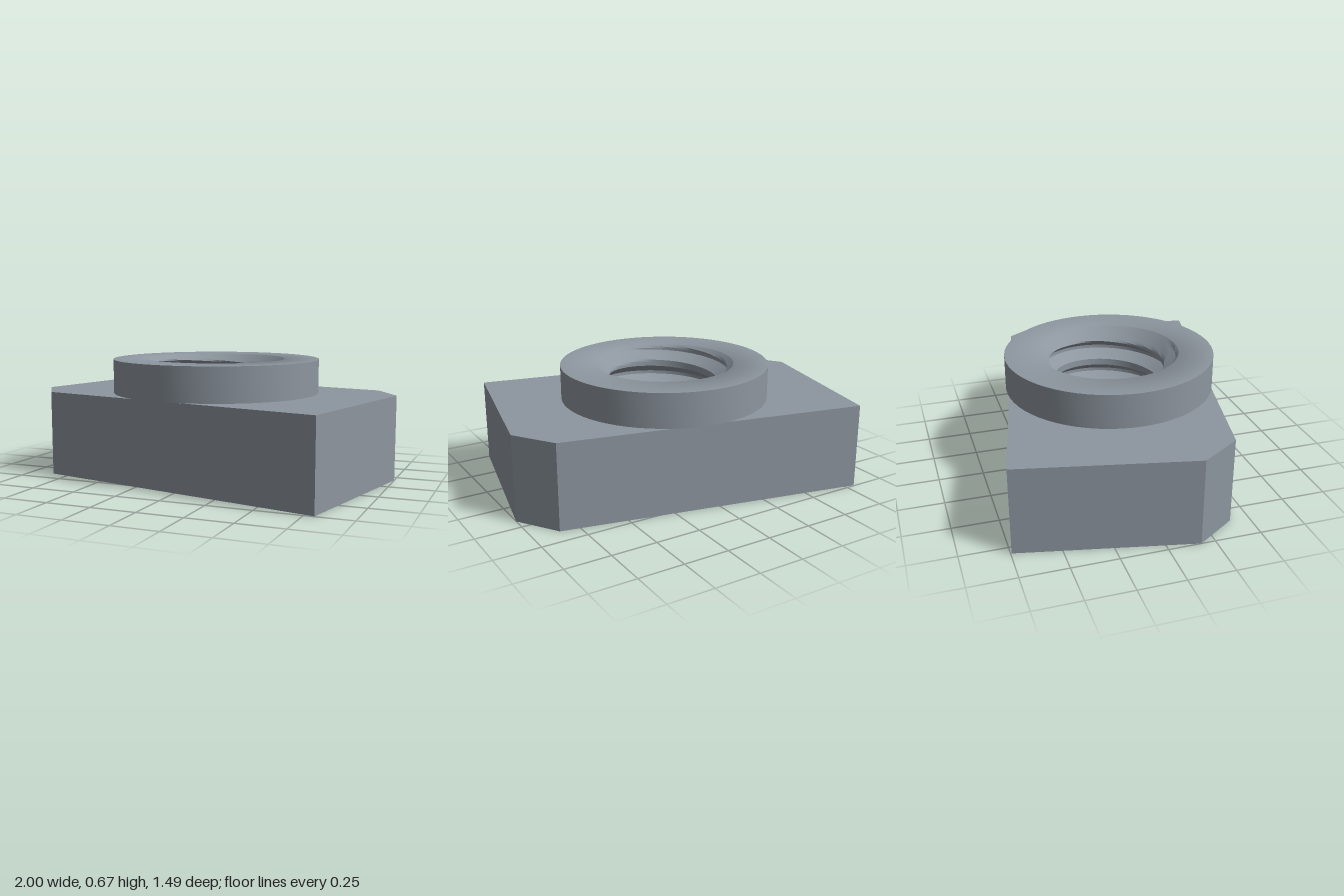
import * as THREE from 'three';
import { toCreasedNormals } from 'three/addons/utils/BufferGeometryUtils.js';

const PLATE_H = 0.475, TOTAL_H = 0.665, COLLAR_R = 0.583;
const MINOR_R = 0.31, MAJOR_R = 0.375, MOUTH_R = 0.39, PITCH = 0.15;
const SEGMENTS = 64;

// Radius of the trapezoid thread at fraction f of one pitch
function threadRadius(f) {
  const crestEnd = 4 / 16, rootStart = 9 / 16, rootEnd = 11 / 16;
  let t = 0;
  if (f > rootEnd) t = (1 - f) / (1 - rootEnd);
  else if (f > rootStart) t = 1;
  else if (f > crestEnd) t = (f - crestEnd) / (rootStart - crestEnd);
  return MINOR_R + (MAJOR_R - MINOR_R) * t;
}

// Helical bore wall, opened by a chamfer at both mouths
function threadGeometry() {
  const steps = 16, first = -steps - 1;
  const rows = Math.ceil(TOTAL_H / PITCH) * steps + steps + 2;
  const positions = [], index = [];
  for (let i = 0; i <= SEGMENTS; i++) {
    const turn = i / SEGMENTS, angle = turn * Math.PI * 2;
    for (let k = 0; k <= rows; k++) {
      const step = first + k;
      const y = THREE.MathUtils.clamp(PITCH * (step / steps + turn), 0, TOTAL_H);
      const f = (((step % steps) + steps) % steps) / steps;
      const chamfer = MOUTH_R - Math.min(y, TOTAL_H - y) * 1.1;
      const atMouth = y === 0 || y === TOTAL_H;
      const r = atMouth ? MOUTH_R : Math.max(threadRadius(f), chamfer);
      positions.push(r * Math.cos(angle), y, -r * Math.sin(angle));
      if (i < SEGMENTS && k < rows) {
        const a = i * (rows + 1) + k, b = a + rows + 1;
        index.push(a, a + 1, b + 1, a, b + 1, b);
      }
    }
  }
  const geometry = new THREE.BufferGeometry();
  geometry.setAttribute('position', new THREE.Float32BufferAttribute(positions, 3));
  geometry.setIndex(index);
  return toCreasedNormals(geometry, 0.6);
}

function lathe(points) {
  return new THREE.LatheGeometry(points.map(([r, y]) => new THREE.Vector2(r, y)), SEGMENTS);
}

export function createModel() {
  const group = new THREE.Group();
  group.name = 'threadedSlotNut';
  const steel = new THREE.MeshStandardMaterial({ color: 0x8d969f });
  steel.name = 'steel grey';
  const add = (name, geometry) => {
    const mesh = new THREE.Mesh(geometry, steel);
    mesh.name = name;
    group.add(mesh);
  };

  // Skewed plate with two clipped corners, symmetric by a half turn
  const half = [[0.803, -0.745], [1, 0.175], [0.855, 0.395]];
  const corners = [...half, ...half.map(([x, y]) => [-x, -y])];
  const outline = new THREE.Shape(corners.map(([x, y]) => new THREE.Vector2(x, y)));
  const hole = new THREE.Path();
  hole.absarc(0, 0, MOUTH_R, 0, Math.PI * 2, true);
  outline.holes.push(hole);
  const plate = new THREE.ExtrudeGeometry(outline, {
    depth: PLATE_H, bevelEnabled: false, curveSegments: SEGMENTS,
  });
  plate.rotateX(-Math.PI / 2);
  add('plate', plate);

  // Round collar wall, with its narrow overhanging underside
  add('collarWall', toCreasedNormals(
    lathe([[0.5, PLATE_H], [COLLAR_R, PLATE_H], [COLLAR_R, TOTAL_H]]), 0.6));

  // Collar face, shaded softly into the bore chamfer
  const face = lathe([[COLLAR_R, TOTAL_H], [MOUTH_R, TOTAL_H]]);
  const position = face.attributes.position, normal = face.attributes.normal;
  const n = new THREE.Vector3();
  for (let i = 0; i < position.count; i++) {
    const x = position.getX(i), z = position.getZ(i);
    const lean = Math.hypot(x, z) < 0.5 ? 0.45 / MOUTH_R : 0;
    n.set(-x * lean, 1, -z * lean).normalize();
    normal.setXYZ(i, n.x, n.y, n.z);
  }
  add('collarFace', face);

  add('threadedBore', threadGeometry());
  return group;
}
